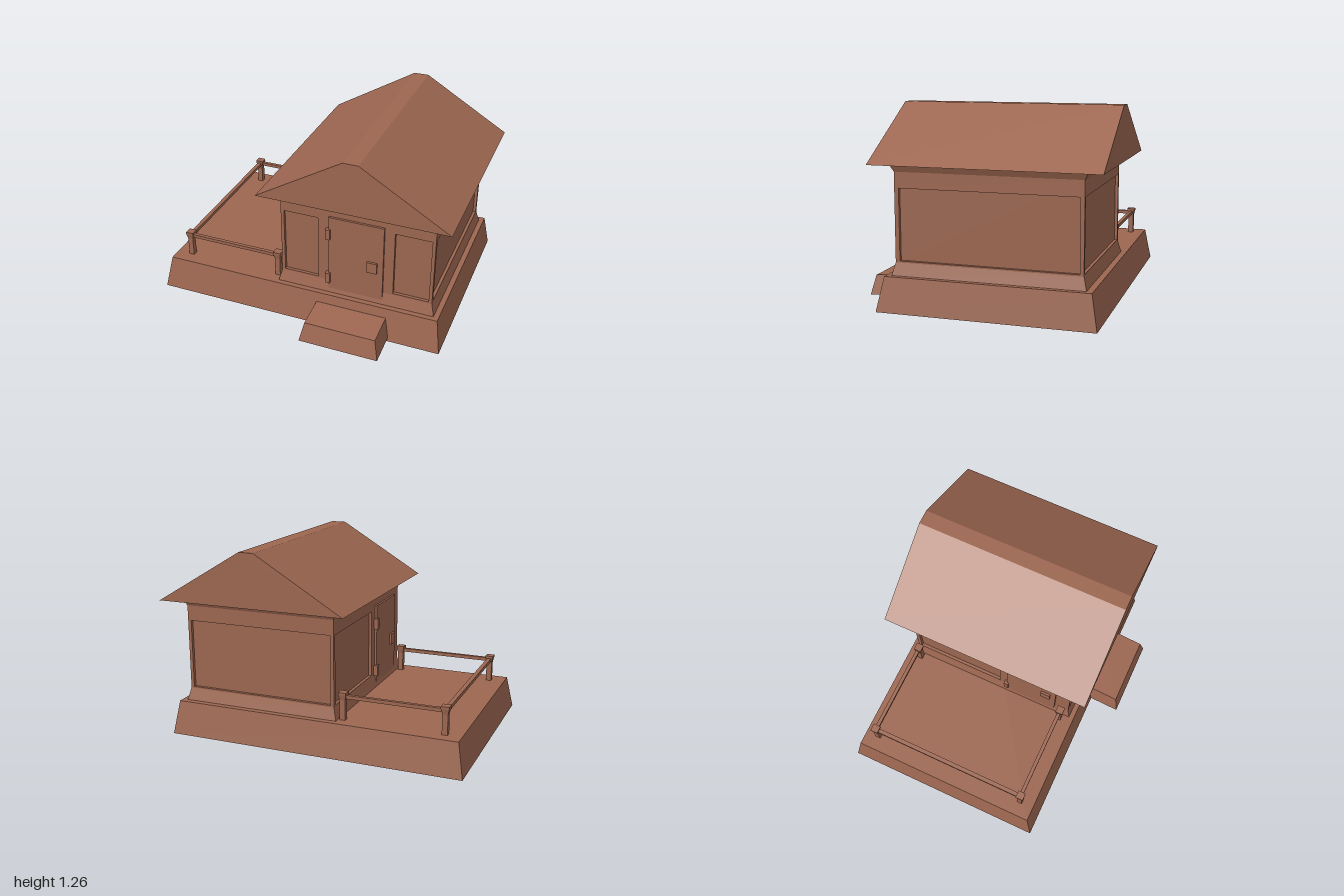
import * as THREE from 'three';

const material = new THREE.MeshStandardMaterial({ color: 0x9c6650, flatShading: true });

function add(parent, name, geometry) {
  const mesh = new THREE.Mesh(geometry, material);
  mesh.name = name;
  parent.add(mesh);
  return mesh;
}

// Axis-aligned box from its limits
function block(parent, name, [x0, x1], [y0, y1], [z0, z1]) {
  const g = new THREE.BoxGeometry(x1 - x0, y1 - y0, z1 - z0);
  g.translate((x0 + x1) / 2, (y0 + y1) / 2, (z0 + z1) / 2);
  return add(parent, name, g);
}

// Box whose bottom and top are different rectangles [x0, x1, z0, z1]
function taper(parent, name, y0, y1, bottom, top) {
  const g = new THREE.BoxGeometry(1, 1, 1);
  const p = g.attributes.position;
  for (let i = 0; i < p.count; i++) {
    const up = p.getY(i) > 0;
    const r = up ? top : bottom;
    p.setXYZ(i, p.getX(i) < 0 ? r[0] : r[1], up ? y1 : y0, p.getZ(i) < 0 ? r[2] : r[3]);
  }
  g.computeVertexNormals();
  return add(parent, name, g);
}

function rect(target, x0, x1, y0, y1) {
  target.moveTo(x0, y0);
  target.lineTo(x1, y0);
  target.lineTo(x1, y1);
  target.lineTo(x0, y1);
  target.closePath();
  return target;
}

const X = [-0.145, 0.88], Z = [-0.68, 0.5], Y = [0.3, 0.86], DEPTH = 0.02;

// Wall skin with openings that become recessed panels; outer face towards local +z
function wall(parent, name, u0, u1, panels) {
  const shape = rect(new THREE.Shape(), u0, u1, Y[0], Y[1]);
  for (const [a, b] of panels) shape.holes.push(rect(new THREE.Path(), a, b, 0.31, 0.76));
  const g = new THREE.ExtrudeGeometry(shape, { depth: DEPTH, bevelEnabled: false });
  return add(parent, name, g);
}

// Door with hinges and handle, hinge edge at x = 0, wall surface at z = 0
function door(name) {
  const d = new THREE.Group();
  d.name = name;
  block(d, 'doorLeaf', [0, 0.368], [0.25, 0.79], [-0.01, 0.015]);
  for (const y of [0.297, 0.63]) block(d, 'hinge', [-0.018, 0.014], [y, y + 0.073], [-0.01, 0.03]);
  block(d, 'doorHandle', [0.262, 0.33], [0.45, 0.525], [0, 0.03]);
  return d;
}

export function createModel() {
  const model = new THREE.Group();
  model.name = 'cabin';

  // Sloped platform
  taper(model, 'platform', 0, 0.22, [-1, 0.97, -0.78, 0.6], [-0.96, 0.935, -0.74, 0.555]);

  // Front step, leaning slightly forward
  const step = taper(model, 'frontStep', 0, 0.13, [0.095, 0.63, 0.45, 0.805], [0.125, 0.602, 0.45, 0.773]);
  const p = step.geometry.attributes.position;
  for (let i = 0; i < p.count; i++) {
    if (p.getZ(i) < 0.5) p.setY(i, p.getY(i) + 0.04);
  }
  step.geometry.computeVertexNormals();

  // House body: skirt, core, recessed walls, flared cornice
  const house = new THREE.Group();
  house.name = 'house';
  model.add(house);
  const plan = [X[0], X[1], Z[0], Z[1]];
  taper(house, 'wallSkirt', 0.215, 0.3, [-0.167, 0.902, -0.702, 0.522], plan);
  block(house, 'wallCore', [X[0] + DEPTH, X[1] - DEPTH], Y, [Z[0] + DEPTH, Z[1] - DEPTH]);
  taper(house, 'cornice', 0.86, 0.915, plan, [-0.17, 0.907, -0.71, 0.527]);

  wall(house, 'frontWall', X[0], X[1], [[-0.123, 0.113], [0.622, 0.858]]).position.z = Z[1] - DEPTH;
  const back = wall(house, 'backWall', -X[1], -X[0], [[-0.858, 0.123]]);
  back.rotation.y = Math.PI;
  back.position.z = Z[0] + DEPTH;
  const left = wall(house, 'leftWall', -Z[1], -Z[0], [[-0.472, 0.655]]);
  left.rotation.y = Math.PI / 2;
  left.position.x = X[1] - DEPTH;
  const right = wall(house, 'rightWall', Z[0], Z[1], [[-0.655, -0.03]]);
  right.rotation.y = -Math.PI / 2;
  right.position.x = X[0] + DEPTH;

  // Doors to the step and to the porch
  const frontDoor = door('frontDoor');
  frontDoor.position.set(0.188, 0, Z[1]);
  const porchDoor = door('porchDoor');
  porchDoor.rotation.y = -Math.PI / 2;
  porchDoor.position.set(X[0], 0, 0.03);
  house.add(frontDoor, porchDoor);

  // Gabled roof with a narrow flat ridge
  const gable = new THREE.Shape();
  gable.moveTo(-0.26, 0.91);
  gable.lineTo(1, 0.91);
  gable.lineTo(0.42, 1.257);
  gable.lineTo(0.32, 1.257);
  gable.closePath();
  const roof = new THREE.ExtrudeGeometry(gable, { depth: 1.435, bevelEnabled: false });
  roof.translate(0, 0, -0.81);
  add(model, 'roof', roof);

  // Porch fence
  const fence = new THREE.Group();
  fence.name = 'porchFence';
  model.add(fence);
  const square = (x, z, r) => [x - r, x + r, z - r, z + r];
  const xs = [-0.853, -0.195], zs = [-0.648, 0.455];
  for (const x of xs) {
    for (const z of zs) {
      taper(fence, 'fencePost', 0.215, 0.35, square(x, z, 0.018), square(x, z, 0.018));
      taper(fence, 'postFlare', 0.35, 0.385, square(x, z, 0.018), square(x, z, 0.026));
      taper(fence, 'postCap', 0.385, 0.4, square(x, z, 0.026), square(x, z, 0.026));
    }
  }
  for (const z of zs) block(fence, 'fenceRail', xs, [0.36, 0.383], [z - 0.012, z + 0.012]);
  block(fence, 'fenceRail', [xs[0] - 0.014, xs[0] + 0.014], [0.36, 0.383], zs);

  return model;
}
